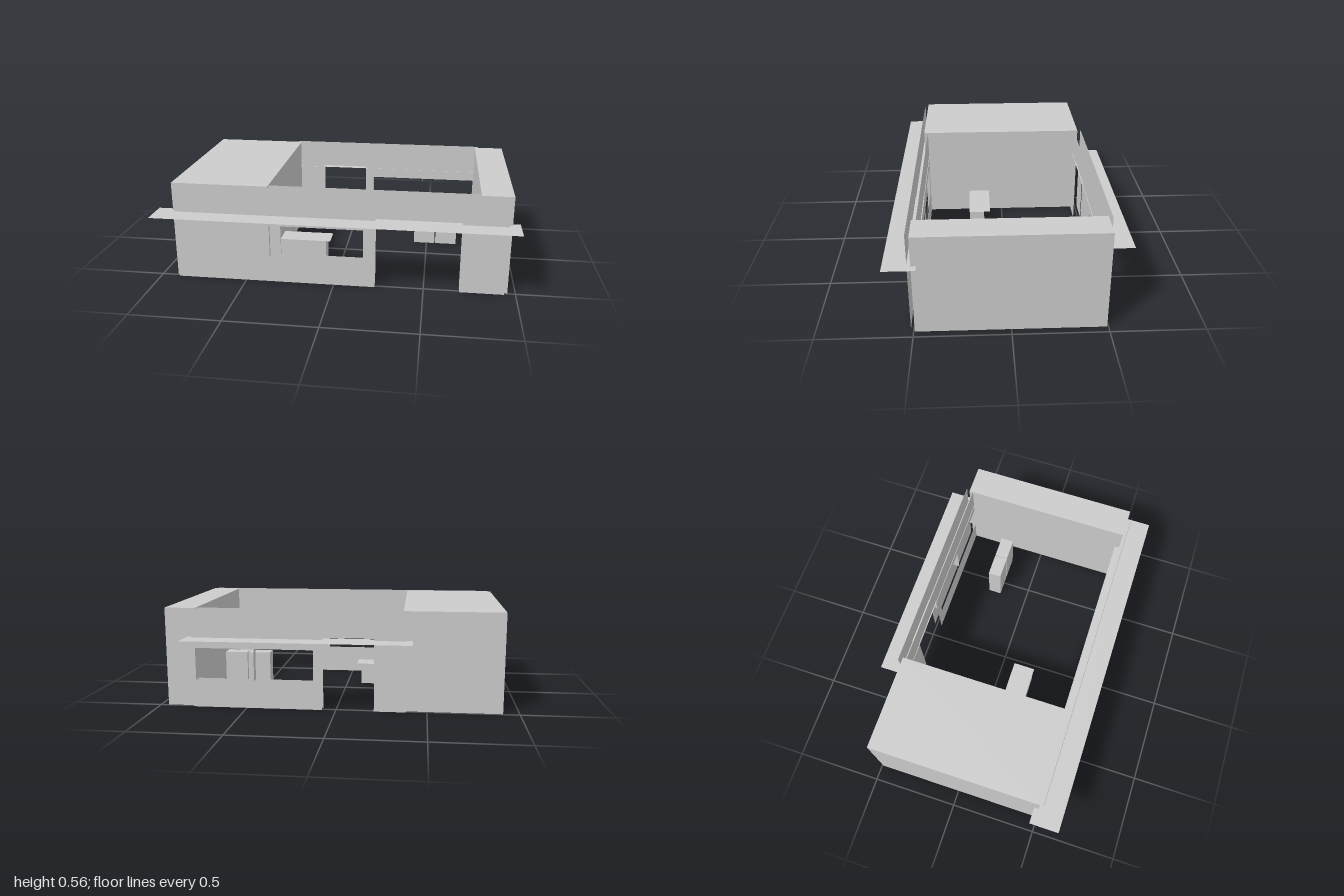
import * as THREE from 'three';

const HEIGHT = 0.555;
const SILL = 0.155, HEAD = 0.335, DOOR_TOP = 0.405;

export function createModel() {
  const model = new THREE.Group();
  const grey = new THREE.MeshStandardMaterial({ color: 0xcccccc, side: THREE.DoubleSide });
  grey.name = 'plain grey';

  const add = (name, geometry, parent = model) => {
    const mesh = new THREE.Mesh(geometry, grey);
    mesh.name = name;
    parent.add(mesh);
    return mesh;
  };

  // Box standing on the ground, without a bottom face
  const shell = (name, x0, x1, z0, z1, h) => {
    const g = new THREE.BoxGeometry(x1 - x0, h, z1 - z0);
    const index = Array.from(g.index.array);
    index.splice(18, 6);
    g.setIndex(index);
    g.clearGroups();
    g.translate((x0 + x1) / 2, h / 2, (z0 + z1) / 2);
    return add(name, g);
  };

  // Flat horizontal sheet
  const sheet = (name, x0, x1, z0, z1, y) => {
    const g = new THREE.PlaneGeometry(x1 - x0, z1 - z0);
    g.rotateX(-Math.PI / 2);
    g.translate((x0 + x1) / 2, y, (z0 + z1) / 2);
    return add(name, g);
  };

  // Wall of two thin skins, with a door notch and window holes
  const wall = (name, x0, x1, door, windows, outerZ, innerZ) => {
    const group = new THREE.Group();
    group.name = name;
    const outline = [
      [x0, 0], [door[0], 0], [door[0], DOOR_TOP], [door[1], DOOR_TOP],
      [door[1], 0], [x1, 0], [x1, HEIGHT], [x0, HEIGHT],
    ];
    const shape = new THREE.Shape(outline.map(([x, y]) => new THREE.Vector2(x, y)));
    for (const [a, b] of windows) {
      shape.holes.push(new THREE.Path(
        [[a, SILL], [a, HEAD], [b, HEAD], [b, SILL]].map(([x, y]) => new THREE.Vector2(x, y))));
    }
    add(name + 'OuterSkin', new THREE.ShapeGeometry(shape).translate(0, 0, outerZ), group);
    add(name + 'InnerSkin', new THREE.ShapeGeometry(shape).translate(0, 0, innerZ), group);
    model.add(group);
  };

  // Side blocks
  shell('largeSideBlock', -0.91, -0.365, -0.493, 0.494, HEIGHT);
  shell('smallSideBlock', 0.785, 0.957, -0.493, 0.494, HEIGHT);

  // Front and back walls
  wall('frontWall', -0.895, 0.937, [0.23, 0.695],
    [[-0.815, -0.355], [-0.305, 0.165]], 0.515, 0.47);
  wall('backWall', -0.385, 0.803, [-0.21, 0.075],
    [[0.125, 0.785]], -0.515, -0.47);

  // Upright dividers in the back window
  for (const x of [0.125, 0.455, 0.785]) {
    const g = new THREE.PlaneGeometry(0.045, HEAD - SILL);
    g.rotateY(Math.PI / 2);
    g.translate(x, (SILL + HEAD) / 2, -0.4925);
    add('windowDivider', g);
  }

  // Awnings
  sheet('frontAwning', -1, 1, 0.467, 0.635, 0.394);
  sheet('backAwning', -0.418, 0.835, -0.635, -0.467, 0.394);

  // Counter with an overhanging top
  shell('counterBody', -0.365, -0.09, 0.12, 0.21, 0.134);
  sheet('counterTop', -0.365, -0.065, 0.083, 0.213, 0.135);

  // Pair of cabinets
  shell('cabinet', 0.42, 0.55, -0.25, -0.172, 0.262);
  shell('cabinet', 0.555, 0.685, -0.25, -0.172, 0.262);

  return model;
}
